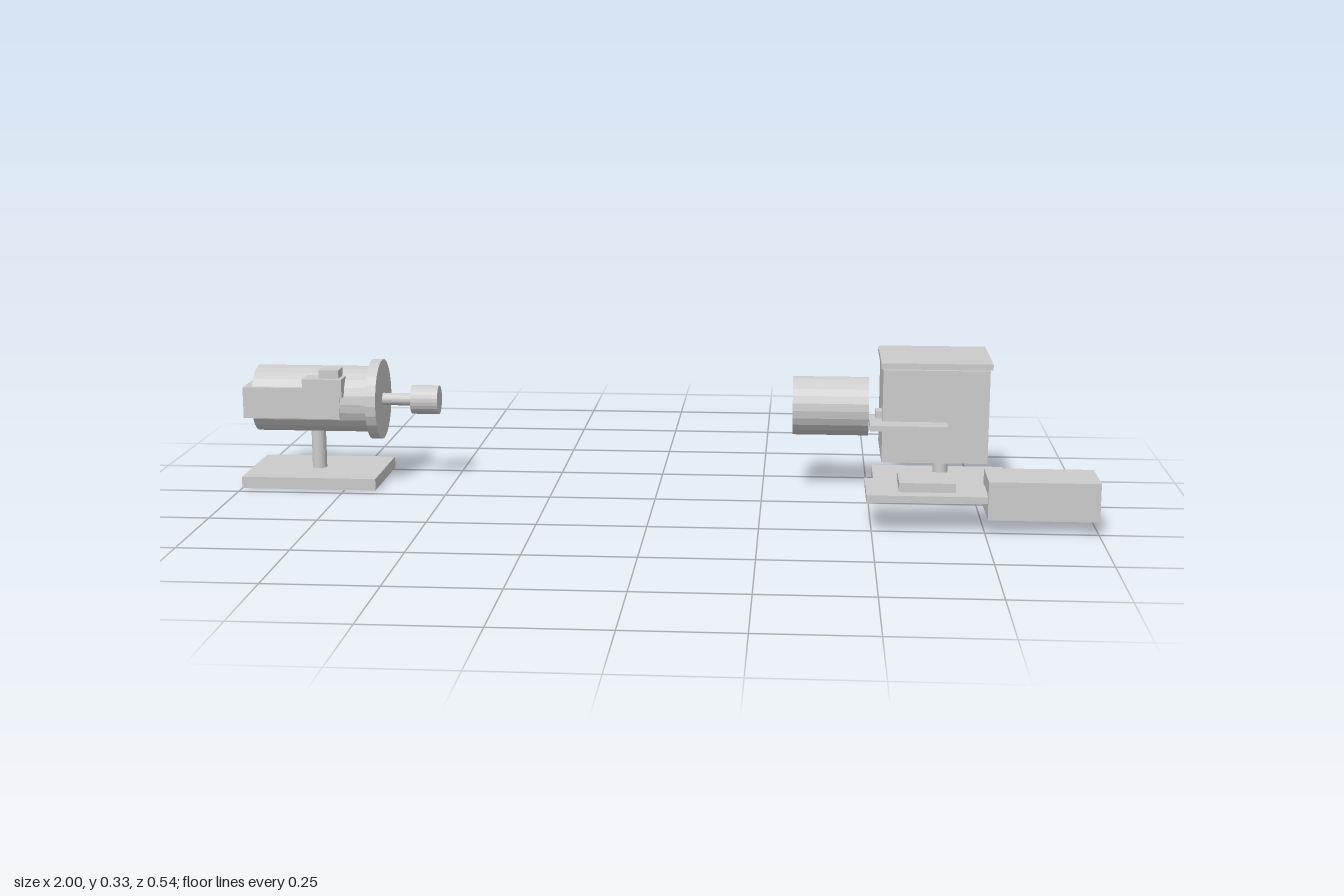
import * as THREE from 'three';

const mat = new THREE.MeshStandardMaterial({ color: 0xcccccc, flatShading: true });
const AXIS_Y = 0.2, AXIS_Z = -0.152;

export function createModel() {
  const model = new THREE.Group();

  function add(parent, name, geometry) {
    const mesh = new THREE.Mesh(geometry, mat);
    mesh.name = name;
    parent.add(mesh);
    return mesh;
  }
  // Box given by its limits on each axis
  function box(parent, name, [x0, x1], [y0, y1], [z0, z1]) {
    add(parent, name, new THREE.BoxGeometry(x1 - x0, y1 - y0, z1 - z0))
      .position.set((x0 + x1) / 2, (y0 + y1) / 2, (z0 + z1) / 2);
  }
  // Round part lying along x on the common axis
  function rod(parent, name, x0, x1, r) {
    const g = new THREE.CylinderGeometry(r, r, x1 - x0, 24).rotateZ(Math.PI / 2);
    add(parent, name, g).position.set((x0 + x1) / 2, AXIS_Y, AXIS_Z);
  }
  // Base plate with a round post
  function stand(parent, x0, x1, top) {
    box(parent, 'basePlate', [x0, x1], [0, 0.028], [-0.272, -0.032]);
    add(parent, 'post', new THREE.CylinderGeometry(0.0175, 0.0175, top - 0.02, 24))
      .position.set((x0 + x1) / 2, (top + 0.02) / 2, AXIS_Z);
  }
  function group(name) {
    const g = new THREE.Group();
    g.name = name;
    model.add(g);
    return g;
  }

  // Barrel unit on its stand
  const barrel = group('barrelUnit');
  stand(barrel, -1, -0.675, 0.125);
  rod(barrel, 'barrel', -0.98, -0.69, 0.08);
  rod(barrel, 'flange', -0.7, -0.675, 0.097);
  rod(barrel, 'shaft', -0.68, -0.595, 0.015);
  rod(barrel, 'shaftCap', -0.603, -0.537, 0.035);
  box(barrel, 'rearHousing', [-1, -0.765], [0.165, 0.24], [-0.225, -0.07]);
  box(barrel, 'sideBracket', [-0.85, -0.755], [0.22, 0.265], [-0.11, -0.052]);
  box(barrel, 'bracketButton', [-0.812, -0.764], [0.265, 0.285], [-0.11, -0.065]);

  // Cabinet unit on its stand
  const cabinet = group('cabinetUnit');
  stand(cabinet, 0.515, 0.835, 0.095);
  box(cabinet, 'cabinet', [0.53, 0.777], [0.09, 0.31], [-0.268, -0.036]);
  box(cabinet, 'lid', [0.525, 0.783], [0.313, 0.327], [-0.272, -0.032]);
  box(cabinet, 'shelf', [0.5, 0.68], [0.175, 0.188], [-0.11, 0.016]);
  box(cabinet, 'shelfLatch', [0.515, 0.54], [0.188, 0.205], [-0.11, -0.07]);

  // Hollow tube beside the cabinet
  const profile = [[0.046, 0], [0.07, 0], [0.07, 0.18], [0.046, 0.18], [0.046, 0]]
    .map(([r, y]) => new THREE.Vector2(r, y));
  add(cabinet, 'tube', new THREE.LatheGeometry(profile, 24).rotateZ(-Math.PI / 2))
    .position.set(0.32, AXIS_Y, AXIS_Z);

  // Low front unit: plate, pad and block
  const front = group('frontUnit');
  box(front, 'plate', [0.487, 0.753], [0.072, 0.087], [0.108, 0.272]);
  box(front, 'pad', [0.56, 0.685], [0.087, 0.108], [0.13, 0.238]);
  box(front, 'connector', [0.73, 0.757], [0.066, 0.085], [0.15, 0.23]);
  box(front, 'block', [0.755, 1], [0.031, 0.118], [0.123, 0.257]);

  return model;
}
